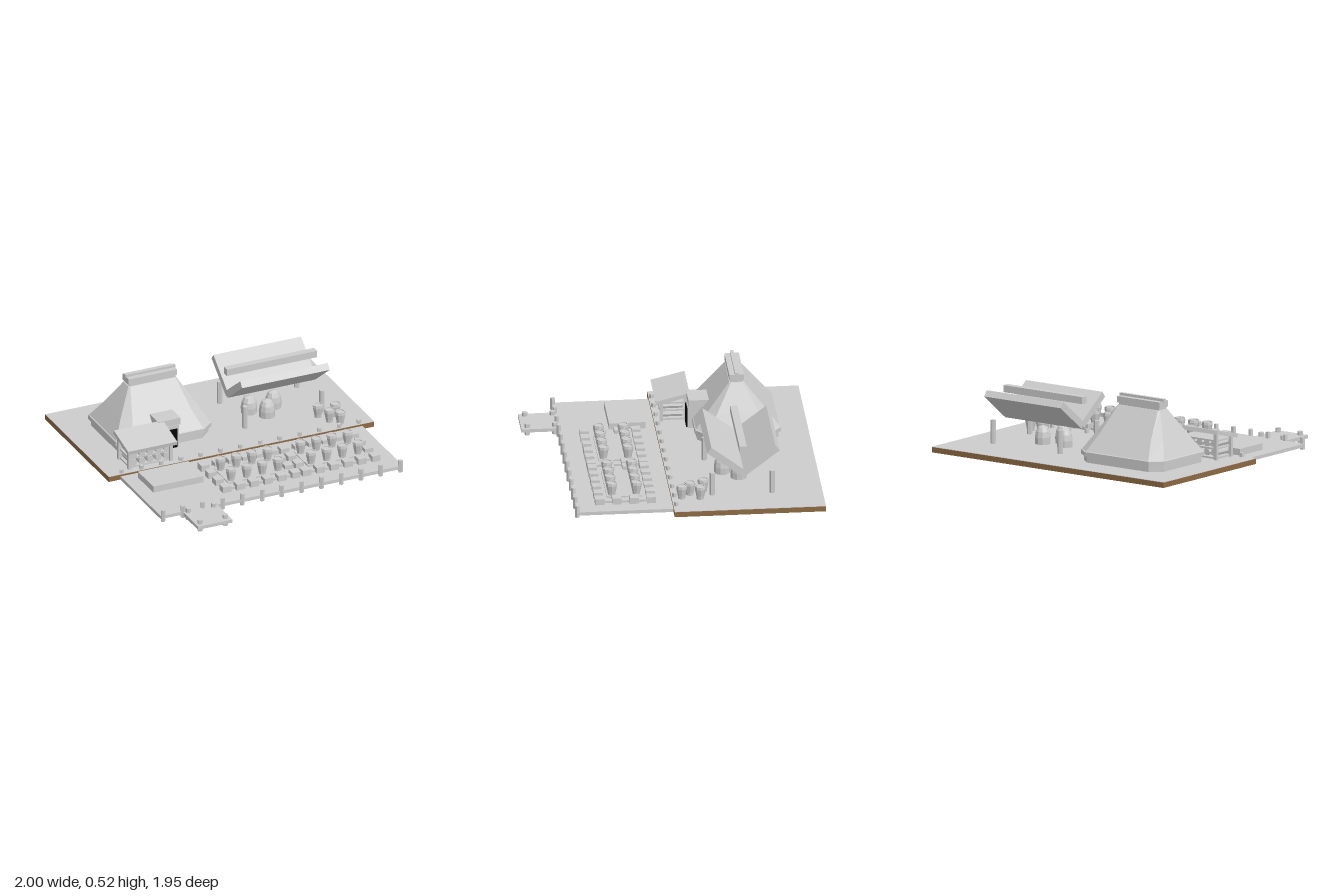
import * as THREE from 'three';

export function createModel() {
  const model = new THREE.Group();
  const mat = (name, color) => {
    const m = new THREE.MeshStandardMaterial({ color });
    m.name = name;
    return m;
  };
  const grey = mat('stone grey', 0xcccccc);
  const brown = mat('earth brown', 0x8d6a42);
  const black = mat('door black', 0x050505);

  const add = (name, geo, material = grey, parent = model) => {
    const m = new THREE.Mesh(geo, material);
    m.name = name;
    parent.add(m);
    return m;
  };
  // Box given by its extents on each axis
  const box = (name, x0, x1, y0, y1, z0, z1, material = grey, parent = model) => {
    const m = add(name, new THREE.BoxGeometry(x1 - x0, y1 - y0, z1 - z0), material, parent);
    m.position.set((x0 + x1) / 2, (y0 + y1) / 2, (z0 + z1) / 2);
  };
  const faceted = geo => {
    const g = geo.toNonIndexed();
    g.computeVertexNormals();
    return g;
  };
  const post = (name, x, z, y0, y1, r, sides) => {
    const g = faceted(new THREE.CylinderGeometry(r, r, y1 - y0, sides));
    add(name, g).position.set(x, (y0 + y1) / 2, z);
  };
  const lathe = (points, sides) =>
    faceted(new THREE.LatheGeometry(points.map(p => new THREE.Vector2(...p)), sides));
  // Stack of chamfered rectangles: [y, halfX, halfZ, chamferX, chamferZ]
  const loft = levels => {
    const rings = levels.map(([y, x, z, cx, cz]) => [
      [x, z - cz], [x - cx, z], [cx - x, z], [-x, z - cz],
      [-x, cz - z], [cx - x, -z], [x - cx, -z], [x, cz - z],
    ].map(([px, pz]) => [px, y, pz]));
    const out = [];
    const last = rings.length - 1;
    for (let i = 0; i < 8; i++) {
      const j = (i + 1) % 8;
      for (let k = 0; k < last; k++) {
        const a = rings[k], b = rings[k + 1];
        out.push(...a[i], ...b[i], ...a[j], ...b[i], ...b[j], ...a[j]);
      }
      out.push(0, levels[0][0], 0, ...rings[0][i], ...rings[0][j]);
      out.push(0, levels[last][0], 0, ...rings[last][j], ...rings[last][i]);
    }
    const g = new THREE.BufferGeometry();
    g.setAttribute('position', new THREE.Float32BufferAttribute(out, 3));
    g.computeVertexNormals();
    return g;
  };

  // Ground: thin paving over an earth sheet with a hanging skirt, open below
  box('groundPaving', -1, 1, 0.067, 0.07, -0.977, 0.063);
  box('groundEarth', -1, 1, 0.063, 0.067, -0.977, 0.063, brown);
  box('skirtBack', -1, 1, 0.03, 0.063, -0.977, -0.973, brown);
  for (const s of [-1, 1]) {
    box('skirtSide', s * 0.998 - 0.002, s * 0.998 + 0.002, 0.03, 0.063, -0.973, 0.063, brown);
    box('skirtFront', s * 0.954 - 0.042, s * 0.954 + 0.042, 0.03, 0.063, 0.059, 0.063, brown);
  }
  box('skirtStep', -0.912, 0.912, 0.054, 0.063, 0.059, 0.063, brown);

  // Lower deck with its jetty
  box('deck', -0.912, 0.912, 0.03, 0.054, 0.059, 0.723);
  box('jetty', -0.748, -0.488, 0.03, 0.054, 0.723, 0.975);
  for (let i = 0; i < 13; i++) {
    const x = -0.894 + i * 0.149;
    post('deckPost', x, 0.722, 0.012, 0.098, 0.017, 5);
    post('bankPost', x, 0.042, 0.065, 0.098, 0.017, 5);
  }
  for (const x of [-0.713, -0.523])
    for (const z of [0.743, 0.933]) post('jettyPost', x, z, 0, 0.083, 0.019, 6);

  // Large hut with a tall hipped roof
  const hut = new THREE.Group();
  hut.name = 'hut';
  hut.position.set(-0.44, 0, -0.482);
  model.add(hut);
  add('hutWall', loft([[0.062, 0.345, 0.28, 0.08, 0.07], [0.13, 0.345, 0.28, 0.08, 0.07]]), grey, hut);
  add('hutRoof', loft([
    [0.115, 0.36, 0.295, 0.085, 0.07],
    [0.145, 0.36, 0.295, 0.085, 0.07],
    [0.15, 0.352, 0.287, 0.083, 0.068],
    [0.267, 0.287, 0.195, 0.067, 0.052],
    [0.45, 0.18, 0.05, 0.01, 0.01],
  ]), grey, hut);
  box('roofNeck', -0.172, 0.172, 0.445, 0.505, -0.042, 0.042, grey, hut);
  box('roofCap', -0.182, 0.182, 0.465, 0.508, -0.05, 0.05, grey, hut);
  box('roofRidge', -0.19, 0.19, 0.503, 0.525, -0.012, 0.012, grey, hut);

  // Porch and door
  box('porch', -0.495, -0.37, 0.07, 0.235, -0.32, -0.155);
  box('porchRoof', -0.525, -0.355, 0.232, 0.283, -0.31, -0.16);
  box('door', -0.485, -0.385, 0.07, 0.21, -0.155, -0.148, black);

  // Open shed with a sloping roof and stacked barrels
  const shedRoof = add('shedRoof', new THREE.BoxGeometry(0.37, 0.028, 0.24));
  shedRoof.position.set(-0.665, 0.24, -0.065);
  shedRoof.rotation.x = Math.atan2(0.055, 0.225);
  for (const x of [-0.82, -0.51]) {
    box('shedFrontPost', x - 0.012, x + 0.012, 0.07, 0.21, 0.0, 0.024);
    box('shedBackPost', x - 0.012, x + 0.012, 0.07, 0.255, -0.165, -0.141);
  }
  for (const y of [0.08, 0.145, 0.2]) box('shelf', -0.82, -0.51, y - 0.006, y + 0.006, -0.15, 0.01);
  const barrel = faceted(new THREE.CylinderGeometry(0.025, 0.025, 0.15, 8).rotateX(Math.PI / 2));
  for (let i = 0; i < 5; i++)
    for (const y of [0.113, 0.174]) add('barrel', barrel).position.set(-0.787 + i * 0.062, y, -0.06);

  // Valley-roofed shelter with a floating beam
  const tilt = Math.atan2(0.182, 0.236);
  for (const s of [1, -1]) {
    const slab = add('shelterRoof', new THREE.BoxGeometry(0.66, 0.05, 0.3));
    slab.position.set(0.447, 0.328, -0.43 + s * 0.116);
    slab.rotation.x = -s * tilt;
  }
  box('shelterBeam', 0.105, 0.785, 0.393, 0.442, -0.453, -0.403);
  for (const x of [0.157, 0.737])
    for (const z of [-0.22, -0.632]) post('shelterPost', x, z, 0.065, 0.235, 0.019, 6);

  // Domed hives below the shelter
  const hive = lathe([[0.001, 0], [0.055, 0], [0.057, 0.055], [0.05, 0.095], [0.035, 0.125], [0.001, 0.137]], 10);
  for (const [x, z] of [[0.37, -0.322], [0.28, -0.422], [0.465, -0.427]])
    add('hive', hive).position.set(x, 0.062, z);

  // Flared pots: a loose group on the ground and rows in the beds
  const pot = lathe([
    [0.001, 0], [0.025, 0], [0.027, 0.02], [0.038, 0.075], [0.036, 0.095],
    [0.03, 0.095], [0.029, 0.088], [0.001, 0.088],
  ], 8);
  for (const [x, z] of [[0.68, -0.162], [0.797, -0.132], [0.722, -0.067], [0.776, -0.006]])
    add('groundPot', pot).position.set(x, 0.07, z);

  // Two planting beds edged with blocks
  for (const [x0, pots] of [[-0.35, -0.266], [0.252, 0.337]]) {
    const bed = new THREE.Group();
    bed.name = 'plantingBed';
    model.add(bed);
    box('bedBase', x0, x0 + 0.525, 0.05, 0.07, 0.203, 0.56, grey, bed);
    box('bedSoil', x0 + 0.05, x0 + 0.475, 0.065, 0.08, 0.259, 0.503, grey, bed);
    for (let i = 0; i < 6; i++)
      for (let k = 0; k < 4; k++) {
        if (i > 0 && i < 5 && k > 0 && k < 3) continue;
        const x = x0 + i * 0.1045, z = 0.203 + k * 0.119;
        box('edgeBlock', x - 0.031, x + 0.031, 0.05, 0.098, z - 0.031, z + 0.031, grey, bed);
      }
    for (let i = 0; i < 4; i++)
      for (const z of [0.298, 0.468])
        add('bedPot', pot, grey, bed).position.set(pots + i * 0.118, 0.075, z);
  }

  // Low rectangular basin
  box('basin', -0.81, -0.43, 0.05, 0.1, 0.129, 0.379);

  return model;
}
